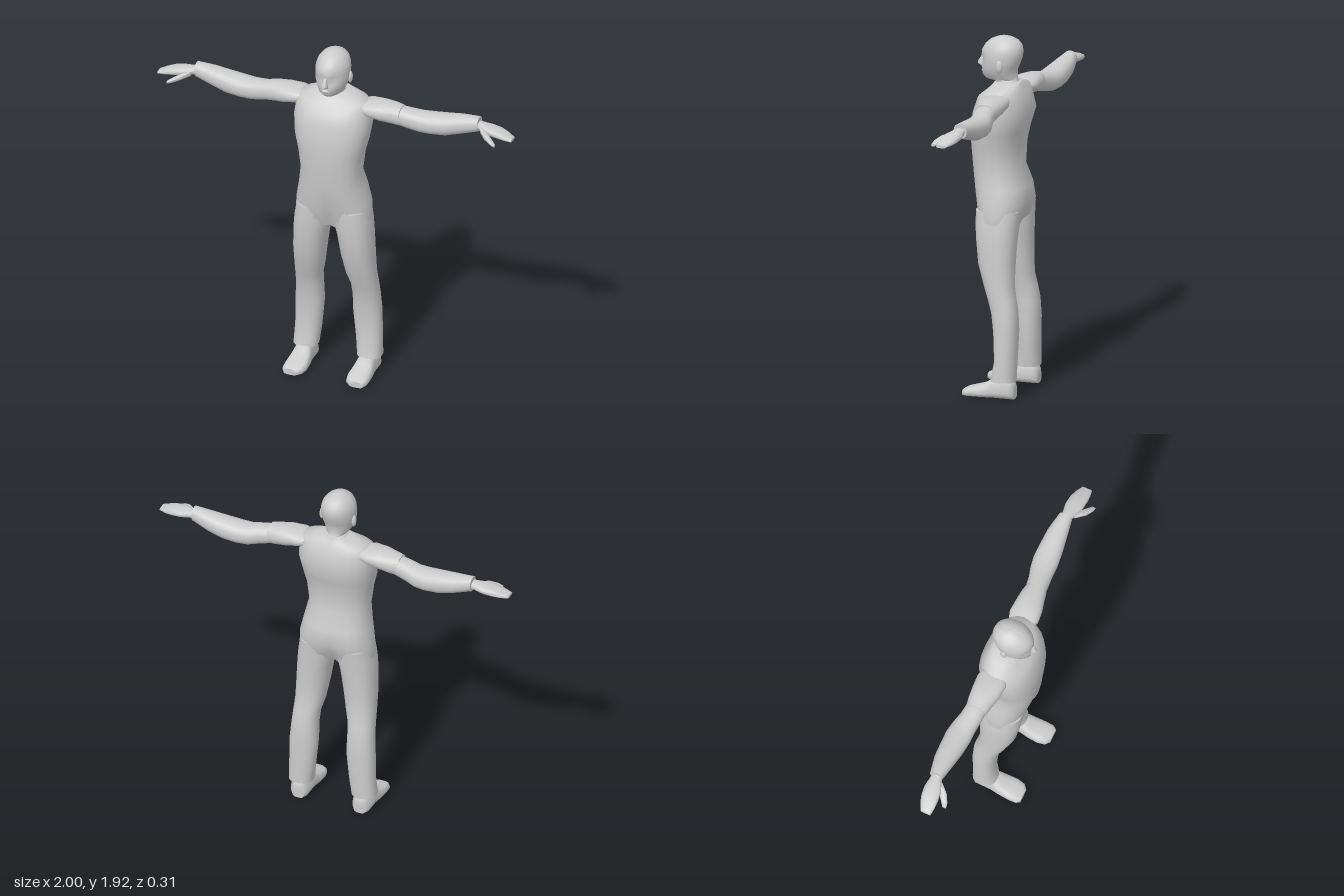
import * as THREE from 'three';
import { toCreasedNormals } from 'three/addons/utils/BufferGeometryUtils.js';

const SEGMENTS = 24;
// how (along, u, v) of a cross-section map to x, y, z
const AXES = {
  x: (t, u, v) => [t, v, u], // u = z, v = y
  y: (t, u, v) => [u, t, v], // u = x, v = z
  z: (t, u, v) => [v, u, t], // u = y, v = x
};

// Closed skin over rings [along, uMin, uMax, vMin, vMax]; power < 1 squares the section
function loft(rings, { axis = 'y', side = 1, power = 0.85, tweak = null } = {}) {
  const pos = [], index = [], n = SEGMENTS;
  const shape = (c) => Math.sign(c) * Math.pow(Math.abs(c), power);
  const add = (t, u, v) => {
    const p = AXES[axis](t, u, v);
    if (tweak) tweak(p);
    pos.push(p[0] * side, p[1], p[2]);
  };
  for (const [t, u0, u1, v0, v1] of rings) {
    for (let j = 0; j < n; j++) {
      const a = (j / n) * Math.PI * 2;
      add(t, (u0 + u1) / 2 + shape(Math.cos(a)) * (u1 - u0) / 2,
        (v0 + v1) / 2 + shape(Math.sin(a)) * (v1 - v0) / 2);
    }
  }
  const tri = (a, b, c) => (side > 0 ? index.push(a, b, c) : index.push(a, c, b));
  for (let i = 0; i < rings.length - 1; i++) {
    for (let j = 0; j < n; j++) {
      const a = i * n + j, b = i * n + (j + 1) % n;
      tri(a, a + n, b);
      tri(b, a + n, b + n);
    }
  }
  // end caps
  const last = rings.length - 1;
  for (const i of [0, last]) {
    const [t, u0, u1, v0, v1] = rings[i];
    const centre = pos.length / 3;
    add(t, (u0 + u1) / 2, (v0 + v1) / 2);
    for (let j = 0; j < n; j++) {
      const a = i * n + j, b = i * n + (j + 1) % n;
      if (i === 0) tri(centre, a, b); else tri(centre, b, a);
    }
  }
  const g = new THREE.BufferGeometry();
  g.setAttribute('position', new THREE.Float32BufferAttribute(pos, 3));
  g.setIndex(index);
  return toCreasedNormals(g, 0.95);
}

const bump = (d, r) => Math.exp(-(d * d) / (r * r));

export function createModel() {
  const model = new THREE.Group();
  model.name = 'figure';
  const grey = new THREE.MeshStandardMaterial({ color: 0xcccccc });
  grey.name = 'light grey';
  const part = (name, geometry) => {
    const mesh = new THREE.Mesh(geometry, grey);
    mesh.name = name;
    model.add(mesh);
    return mesh;
  };
  // symmetric ring: height, half width, back, front
  const sym = (list) => list.map(([y, w, back, front]) => [y, -w, w, back, front]);

  // Torso, pinched at the centre of the hips and dipping at the neckline
  part('torso', loft(sym([
    [0.89, 0.205, -0.105, 0.095], [0.94, 0.209, -0.128, 0.11], [1.03, 0.202, -0.153, 0.125],
    [1.12, 0.183, -0.143, 0.14], [1.22, 0.165, -0.105, 0.152], [1.34, 0.18, -0.11, 0.16],
    [1.42, 0.2, -0.125, 0.16], [1.52, 0.212, -0.155, 0.147], [1.6, 0.203, -0.135, 0.118],
    [1.64, 0.185, -0.12, 0.09], [1.662, 0.12, -0.108, 0.06], [1.678, 0.072, -0.1, 0.045],
  ]), {
    tweak: (p) => {
      const low = THREE.MathUtils.clamp((1.05 - p[1]) / 0.16, 0, 1);
      p[2] *= 1 - 0.45 * low * bump(p[0], 0.05);
      if (p[1] > 1.63) p[1] -= 0.2 * Math.max(0, p[2]);
    },
  }));

  // Head and neck, narrower towards the face, with eye sockets
  part('head', loft(sym([
    [1.61, 0.066, -0.09, 0.04], [1.68, 0.06, -0.083, 0.036], [1.686, 0.056, -0.078, 0.1],
    [1.705, 0.07, -0.075, 0.117], [1.735, 0.082, -0.073, 0.117], [1.76, 0.09, -0.083, 0.119],
    [1.785, 0.092, -0.093, 0.118], [1.81, 0.093, -0.101, 0.122], [1.84, 0.09, -0.106, 0.117],
    [1.87, 0.08, -0.1, 0.1], [1.895, 0.06, -0.08, 0.072], [1.91, 0.036, -0.052, 0.04],
    [1.918, 0.012, -0.02, 0.01],
  ]), {
    power: 0.95,
    tweak: (p) => {
      if (p[1] > 1.68) p[0] *= 1 - 1.6 * Math.max(0, p[2] - 0.02);
      if (p[2] > 0) p[2] -= 0.014 * bump(Math.abs(p[0]) - 0.036, 0.02) * bump(p[1] - 1.787, 0.016);
    },
  }));
  part('nose', loft(sym([
    [1.742, 0.013, 0.1, 0.123], [1.756, 0.018, 0.1, 0.145], [1.768, 0.014, 0.1, 0.145],
    [1.8, 0.008, 0.1, 0.124],
  ]), { power: 1 }));
  part('mouth', loft(sym([
    [1.712, 0.012, 0.09, 0.117], [1.722, 0.024, 0.09, 0.123], [1.732, 0.012, 0.09, 0.118],
  ]), { power: 1 }));

  for (const [side, label] of [[1, 'left'], [-1, 'right']]) {
    const ear = part(label + 'Ear', new THREE.SphereGeometry(1, 10, 8));
    ear.scale.set(0.012, 0.034, 0.019);
    ear.position.set(side * 0.092, 1.768, -0.008);

    // Trouser leg
    part(label + 'Leg', loft([
      [0.095, 0.113, 0.247, -0.135, 0], [0.2, 0.1, 0.243, -0.136, -0.02],
      [0.36, 0.085, 0.24, -0.141, -0.012], [0.46, 0.088, 0.232, -0.137, 0.002],
      [0.53, 0.085, 0.228, -0.125, 0.023], [0.6, 0.066, 0.225, -0.11, 0.048],
      [0.72, 0.048, 0.222, -0.112, 0.085], [0.84, 0.03, 0.217, -0.117, 0.1],
      [0.92, 0.012, 0.21, -0.124, 0.108], [1.0, 0.015, 0.196, -0.13, 0.108],
    ], { side }));

    // Shoe, narrowing upwards
    part(label + 'Foot', loft([
      [-0.13, 0, 0.085, 0.14, 0.212], [-0.11, 0, 0.115, 0.122, 0.232],
      [-0.02, 0, 0.112, 0.12, 0.234], [0.03, 0, 0.075, 0.113, 0.24],
      [0.09, 0, 0.056, 0.11, 0.243], [0.13, 0, 0.045, 0.12, 0.24], [0.15, 0, 0.034, 0.145, 0.225],
    ], {
      axis: 'z', side, power: 0.65,
      tweak: (p) => { p[0] = 0.177 + (p[0] - 0.177) * (1 - 2.5 * p[1]); },
    }));

    // Short shoulder sleeve
    part(label + 'Sleeve', loft([
      [0.16, -0.095, 0.04, 1.575, 1.635], [0.2, -0.108, 0.056, 1.565, 1.642],
      [0.27, -0.105, 0.048, 1.545, 1.647], [0.33, -0.1, 0.032, 1.535, 1.642],
      [0.375, -0.092, 0.022, 1.528, 1.635],
    ], { axis: 'x', side }));

    // Arm down to the cuff
    part(label + 'Arm', loft([
      [0.34, -0.09, 0.02, 1.535, 1.632], [0.42, -0.102, 0.014, 1.515, 1.622],
      [0.48, -0.12, 0.008, 1.502, 1.612], [0.54, -0.13, 0.008, 1.502, 1.613],
      [0.62, -0.128, 0, 1.507, 1.622], [0.7, -0.123, -0.012, 1.53, 1.632],
      [0.8, -0.102, -0.028, 1.562, 1.642],
    ], { axis: 'x', side }));

    // Hand with fingers together, and the thumb
    part(label + 'Hand', loft([
      [0.77, -0.088, -0.038, 1.578, 1.622], [0.82, -0.092, -0.025, 1.572, 1.616],
      [0.87, -0.1, -0.005, 1.565, 1.61], [0.92, -0.095, 0, 1.56, 1.602],
      [0.96, -0.083, 0, 1.557, 1.588], [1, -0.062, -0.006, 1.556, 1.572],
    ], { axis: 'x', side }));
    part(label + 'Thumb', loft([
      [0.82, -0.05, -0.018, 1.57, 1.6], [0.86, -0.025, 0.025, 1.558, 1.59],
      [0.9, 0.008, 0.046, 1.546, 1.572], [0.925, 0.028, 0.05, 1.54, 1.556],
    ], { axis: 'x', side }));
  }
  return model;
}
